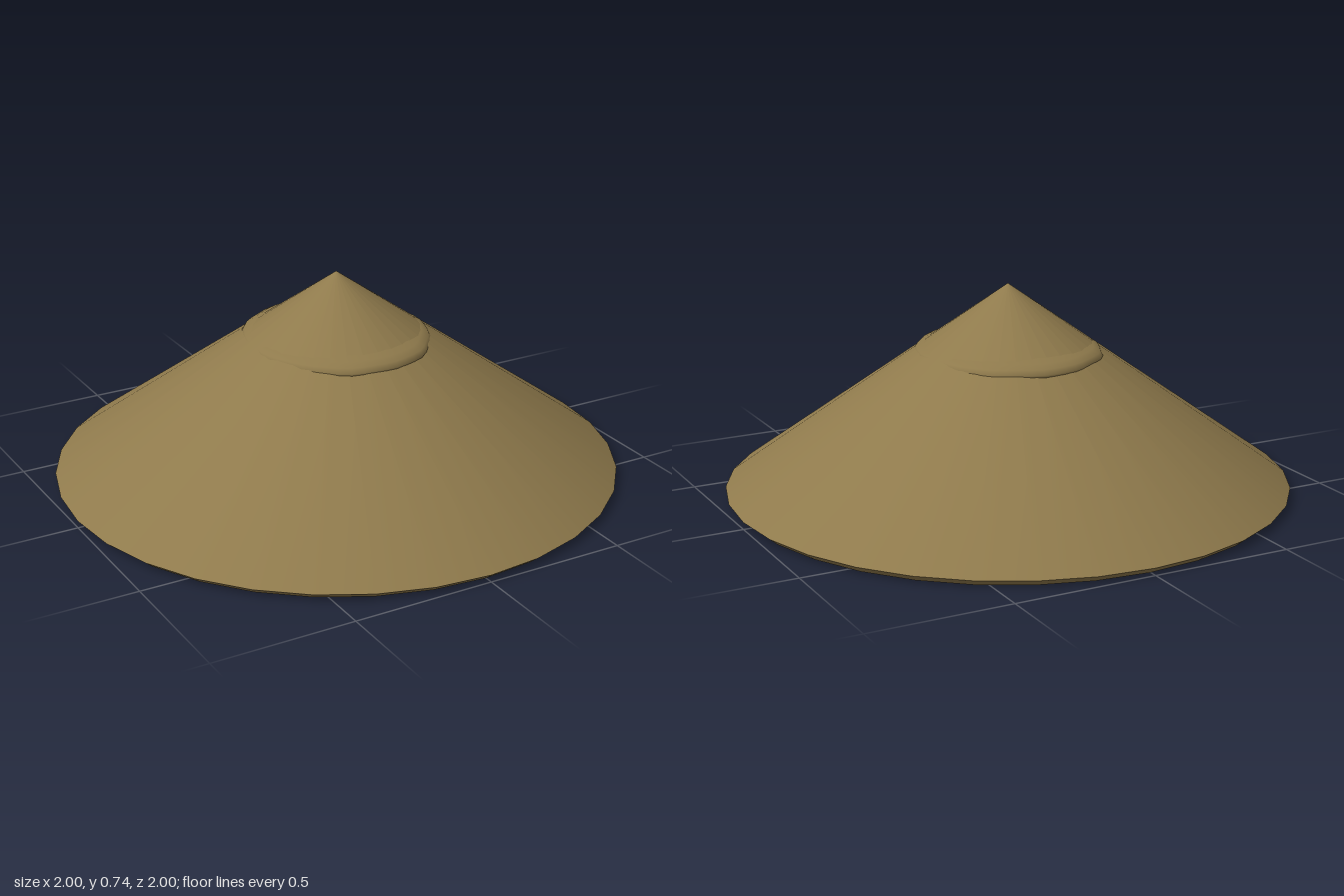
import * as THREE from 'three';

const SIDES = 32;

// Surface of revolution from [radius, height] pairs
function lathe(points, sides = SIDES) {
  return new THREE.LatheGeometry(points.map(([r, y]) => new THREE.Vector2(r, y)), sides);
}

export function createModel() {
  const hat = new THREE.Group();
  hat.name = 'conicalHat';
  const straw = new THREE.MeshStandardMaterial({ color: 0x8f7a4c });
  straw.name = 'straw';

  function add(name, geometry) {
    const mesh = new THREE.Mesh(geometry, straw);
    mesh.name = name;
    hat.add(mesh);
    return mesh;
  }

  // Shell: separate surfaces keep the brim edges crisp
  add('outerCone', lathe([[1, 0.025], [0, 0.74]]));
  add('brimEdge', lathe([[0.97, 0], [1, 0.025]]));
  add('innerCone', lathe([[0, 0.67], [0.97, 0]]));

  // Head pad: flat underside with a small hole; its rim bulges through front and back
  add('padUnderside', wobble(lathe([[0.09, 0.465], [0.31, 0.465]], 48)));
  add('padRim', wobble(lathe([
    [0.31, 0.465], [0.347, 0.488], [0.35, 0.498], [0.34, 0.515], [0.315, 0.528], [0.275, 0.54],
  ], 48)));
  add('padTop', wobble(lathe([[0.275, 0.54], [0.09, 0.52]], 48)));
  add('padHole', wobble(lathe([[0.09, 0.52], [0.09, 0.465]], 48)));
  return hat;
}

// Narrow the pad sideways and make its edge slightly uneven
function wobble(geometry) {
  const p = geometry.attributes.position;
  for (let i = 0; i < p.count; i++) {
    const x = p.getX(i), z = p.getZ(i), a = Math.atan2(z, x);
    const k = 1 + 0.008 * Math.sin(a * 7) + 0.006 * Math.sin(a * 13 + 1);
    p.setX(i, x * k * 0.93);
    p.setZ(i, z * k);
  }
  return geometry;
}
